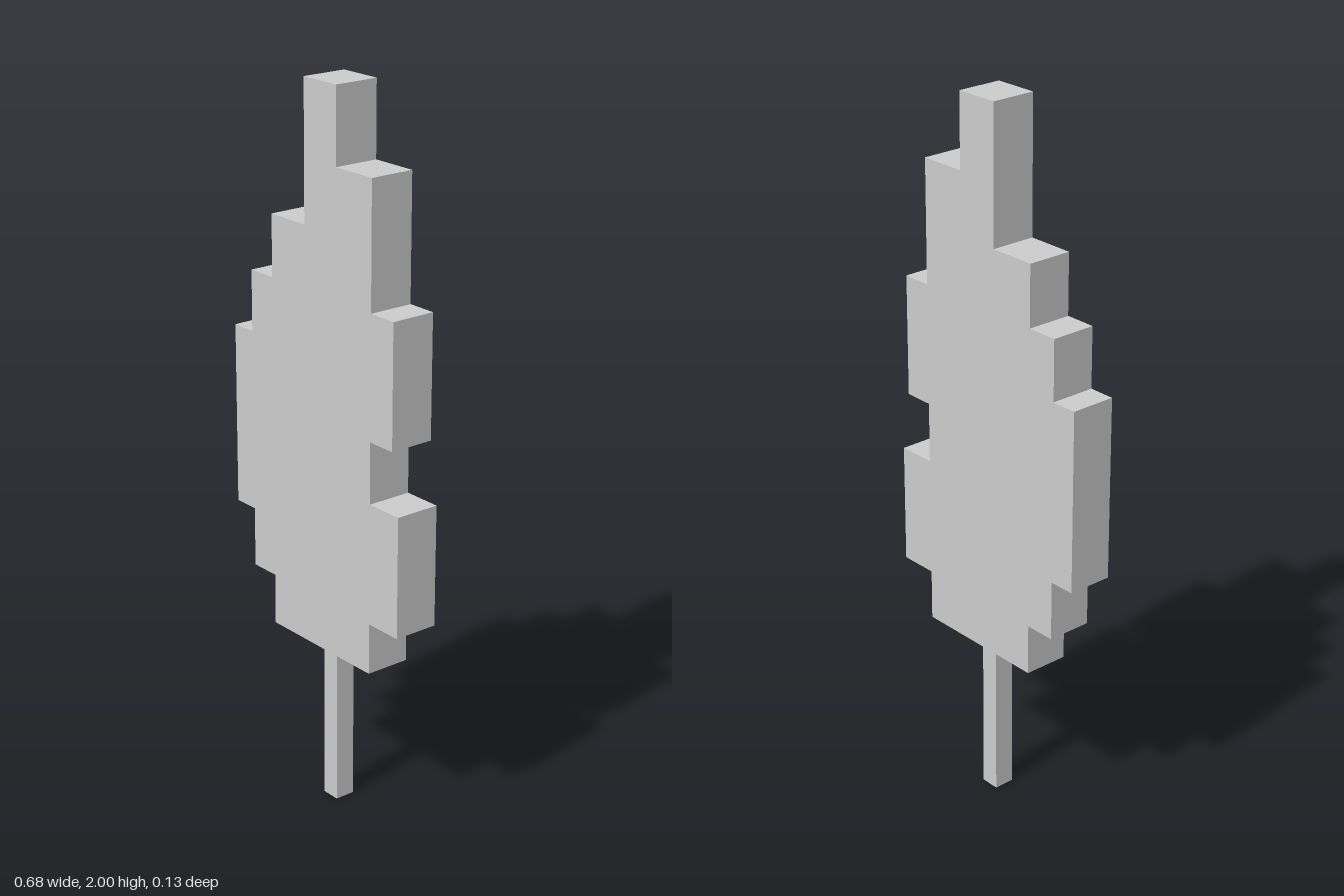
import * as THREE from 'three';

export function createModel() {
  const group = new THREE.Group();
  const material = new THREE.MeshStandardMaterial({ color: 0xcccccc, flatShading: true });

  // Stepped crown: [height, half outline x] going up each side
  const right = [[0.466, 0.224], [0.609, 0.335], [0.946, 0.224], [1.115, 0.309], [1.454, 0.224], [1.796, 0.087]];
  const left = [[0.466, -0.176], [0.609, -0.265], [0.777, -0.34], [1.285, -0.265], [1.454, -0.176], [1.624, -0.04]];
  const top = 2;
  const depth = 0.128;

  // Each step gives a vertical edge from its own height to the next one
  const side = (steps) => steps.flatMap(([y, x], i) => [
    new THREE.Vector2(x, y),
    new THREE.Vector2(x, i + 1 < steps.length ? steps[i + 1][0] : top),
  ]);
  const outline = new THREE.Shape([...side(right), ...side(left).reverse()]);
  const crownGeometry = new THREE.ExtrudeGeometry(outline, { depth, bevelEnabled: false });
  crownGeometry.translate(0, 0, -depth / 2);
  const crown = new THREE.Mesh(crownGeometry, material);
  crown.name = 'crown';
  group.add(crown);

  // Thin square trunk under the crown
  const trunk = new THREE.Mesh(new THREE.BoxGeometry(0.054, 0.466, 0.058), material);
  trunk.name = 'trunk';
  trunk.position.set(0.021, 0.233, 0);
  group.add(trunk);

  return group;
}
